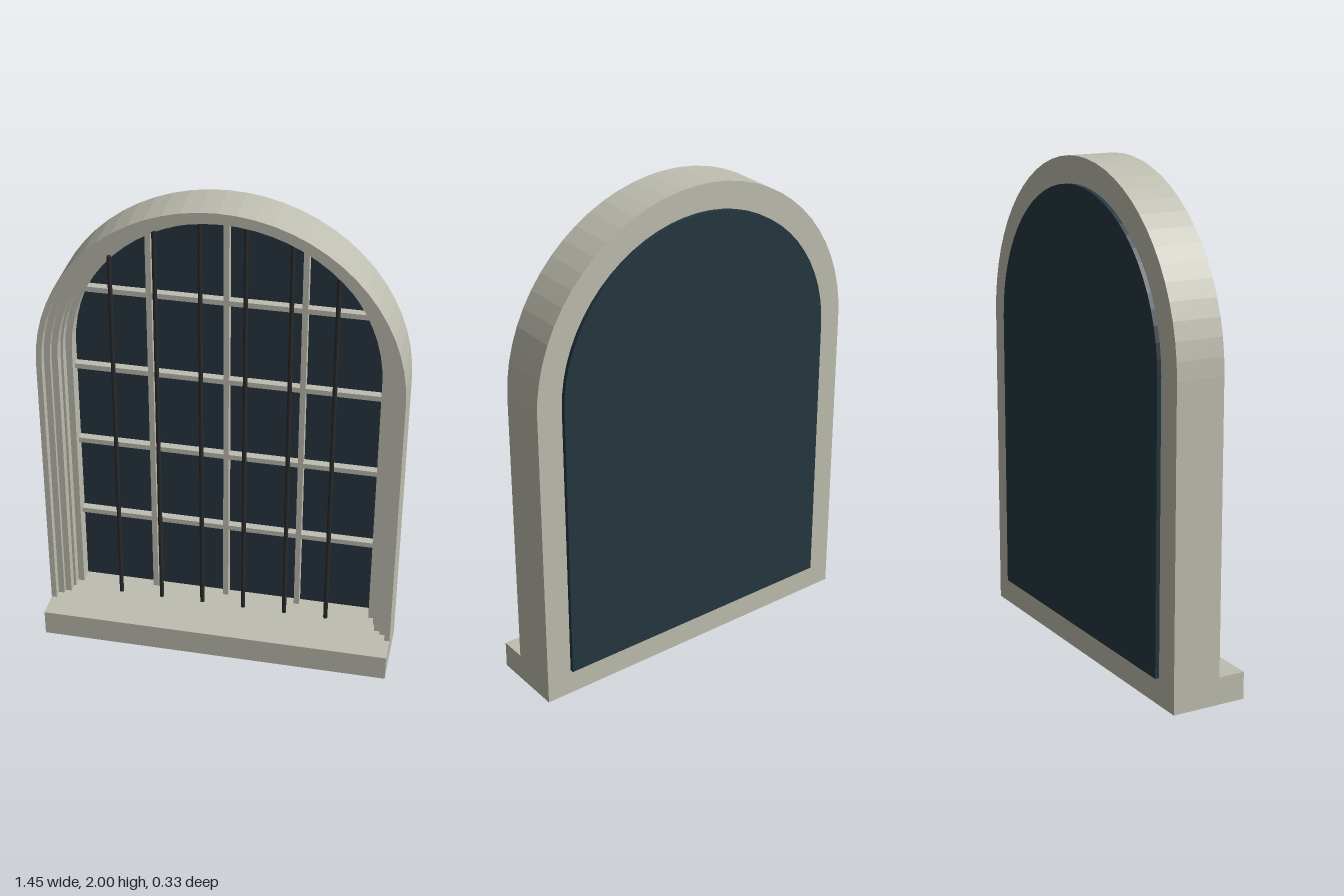
import * as THREE from 'three';

const SPRING = 1.273; // height where the arch begins
const SILL_TOP = 0.11;
const BACK = -0.145;
const OPENING = 0.62; // half width of the glazed opening

const stone = new THREE.MeshStandardMaterial({ color: 0xbdbdb0 });
const glass = new THREE.MeshStandardMaterial({ color: 0x25363f });
const iron = new THREE.MeshStandardMaterial({ color: 0x2b2b2b });

export function createModel() {
  const model = new THREE.Group();

  const add = (name, geometry, material, x = 0, y = 0, z = 0) => {
    const mesh = new THREE.Mesh(geometry, material);
    mesh.name = name;
    mesh.position.set(x, y, z);
    model.add(mesh);
    return mesh;
  };
  const extrude = (shape, depth) =>
    new THREE.ExtrudeGeometry(shape, { depth, bevelEnabled: false, curveSegments: 16 });

  // Upside-down U band between two half widths
  const archBand = (outer, inner) => {
    const s = new THREE.Shape();
    s.moveTo(outer, SILL_TOP);
    s.lineTo(outer, SPRING);
    s.absarc(0, SPRING, outer, 0, Math.PI, false);
    s.lineTo(-outer, SILL_TOP);
    s.lineTo(-inner, SILL_TOP);
    s.lineTo(-inner, SPRING);
    s.absarc(0, SPRING, inner, Math.PI, 0, true);
    s.lineTo(inner, SILL_TOP);
    s.closePath();
    return s;
  };

  // Stepped frame moulding: outer half width, inner half width, front z
  const steps = [
    [0.727, 0.705, 0.055],
    [0.705, 0.68, 0.02],
    [0.68, 0.655, 0],
    [0.655, 0.645, -0.04],
    [0.645, OPENING, -0.08],
  ];
  steps.forEach(([outer, inner, front], i) =>
    add(`frameStep${i + 1}`, extrude(archBand(outer, inner), front - BACK), stone, 0, 0, BACK));

  // Sill projecting at the front
  add('sill', new THREE.BoxGeometry(1.454, SILL_TOP, 0.31), stone, 0, SILL_TOP / 2, 0.01);

  // Arched pane set behind the frame
  const pane = new THREE.Shape();
  pane.moveTo(-OPENING, SILL_TOP);
  pane.lineTo(OPENING, SILL_TOP);
  pane.lineTo(OPENING, SPRING);
  pane.absarc(0, SPRING, OPENING, 0, Math.PI, false);
  pane.closePath();
  add('glassPane', extrude(pane, 0.018), glass, 0, 0, -0.162);

  // Height and half width of the opening, run slightly into the frame
  const archTop = (x) => SPRING + Math.sqrt(0.628 ** 2 - x * x);
  const halfWidth = (y) => (y < SPRING ? 0.628 : Math.sqrt(0.628 ** 2 - (y - SPRING) ** 2));

  // Glazing bars dividing the pane into four columns and five rows
  for (const x of [-0.307, 0, 0.307]) {
    const h = archTop(x) - SILL_TOP;
    add('mullion', new THREE.BoxGeometry(0.022, h, 0.036), stone, x, SILL_TOP + h / 2, -0.127);
  }
  for (let i = 1; i <= 4; i++) {
    const y = SILL_TOP + i * 0.357;
    add('transom', new THREE.BoxGeometry(2 * halfWidth(y), 0.022, 0.034), stone, 0, y, -0.127);
  }

  // Round security bars standing on the sill
  for (let i = 0; i < 6; i++) {
    const x = (i - 2.5) * 0.177;
    const h = archTop(x) - SILL_TOP + 0.01;
    add('securityBar', new THREE.CylinderGeometry(0.009, 0.009, h, 8), iron, x, SILL_TOP + h / 2, -0.045);
  }

  return model;
}
